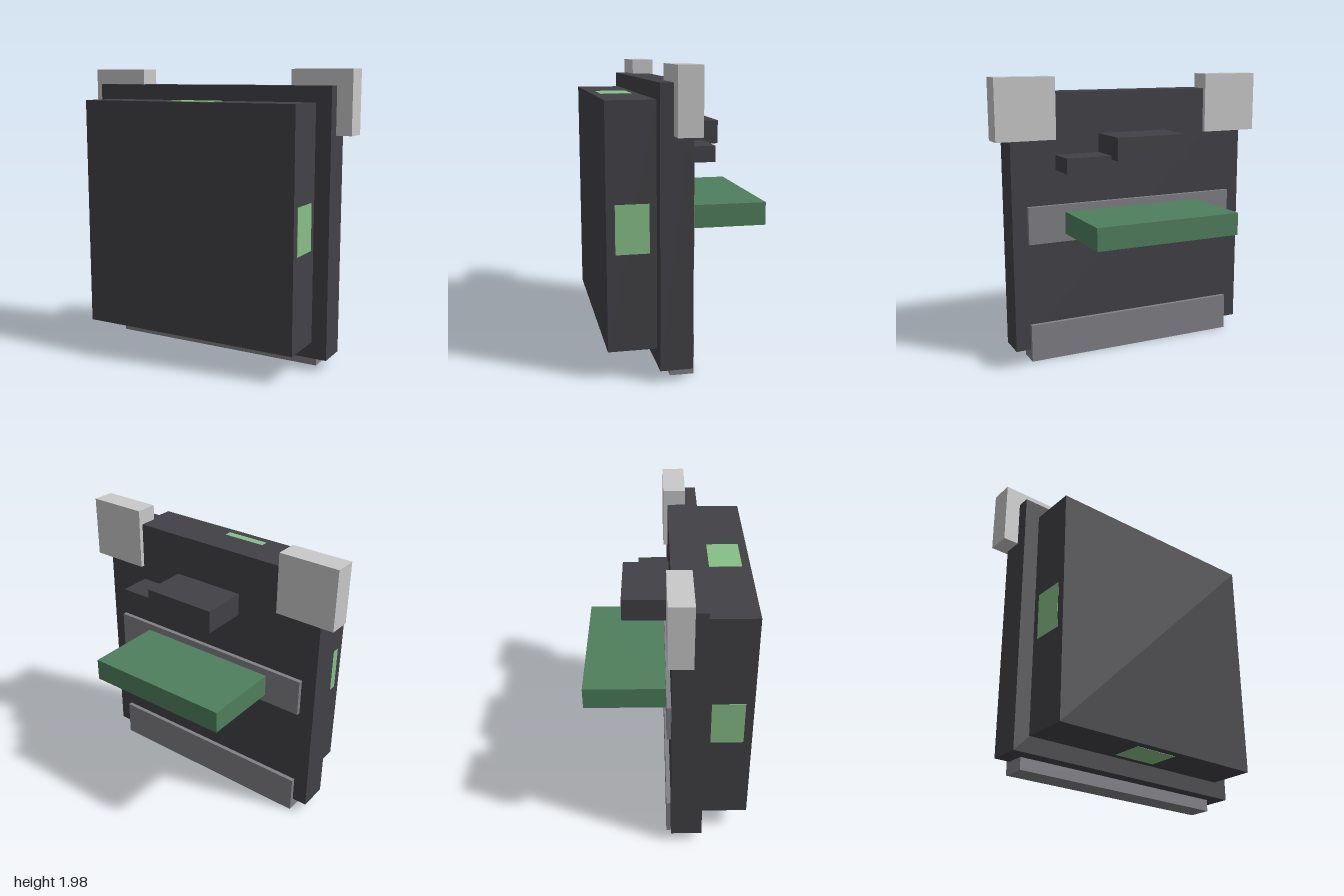
import * as THREE from 'three';

const mat = (name, color) => {
  const m = new THREE.MeshStandardMaterial({ color });
  m.name = name;
  return m;
};

export function createModel() {
  const group = new THREE.Group();
  const charcoal = mat('charcoal', 0x424146);
  const midGrey = mat('midGrey', 0x808085);
  const lightGrey = mat('lightGrey', 0xc9c9c9);
  const green = mat('green', 0x4f7f5c);
  const paleGreen = mat('paleGreen', 0x87c087);

  // Box given by its extents along each axis
  const box = (name, material, [x0, x1], [y0, y1], [z0, z1]) => {
    const mesh = new THREE.Mesh(new THREE.BoxGeometry(x1 - x0, y1 - y0, z1 - z0), material);
    mesh.position.set((x0 + x1) / 2, (y0 + y1) / 2, (z0 + z1) / 2);
    mesh.name = name;
    group.add(mesh);
  };

  // Body: raised front block on a wider back plate
  box('frontBlock', charcoal, [-0.79, 0.79], [0.19, 1.765], [0.24, 0.555]);
  box('backPlate', charcoal, [-0.895, 0.895], [0.08, 1.87], [0.03, 0.24]);

  // Rear rails
  box('bottomRail', midGrey, [-0.79, 0.79], [0, 0.265], [0, 0.155]);
  box('middleRail', midGrey, [-0.79, 0.79], [0.845, 1.105], [0, 0.03]);

  // Rear shelf and upper blocks
  box('shelf', green, [-0.525, 0.525], [0.9, 1.055], [-0.555, 0]);
  box('largeRearBlock', charcoal, [-0.263, 0.258], [1.425, 1.582], [-0.29, 0.03]);
  box('smallRearBlock', charcoal, [0.258, 0.578], [1.345, 1.45], [-0.187, 0.03]);

  // Corner blocks at the top
  box('leftCorner', lightGrey, [0.58, 1], [1.555, 1.975], [0, 0.155]);
  box('rightCorner', lightGrey, [-1, -0.58], [1.555, 1.975], [0, 0.155]);

  // Thin coloured panels on the four edges of the front block
  const t = 0.002, depth = [0.285, 0.5];
  box('leftPanel', paleGreen, [0.79 - t, 0.79 + t], [0.818, 1.133], depth);
  box('rightPanel', paleGreen, [-0.79 - t, -0.79 + t], [0.818, 1.133], depth);
  box('topPanel', paleGreen, [-0.158, 0.158], [1.765 - t, 1.765 + t], depth);
  box('bottomPanel', paleGreen, [-0.158, 0.158], [0.19 - t, 0.19 + t], depth);

  return group;
}
